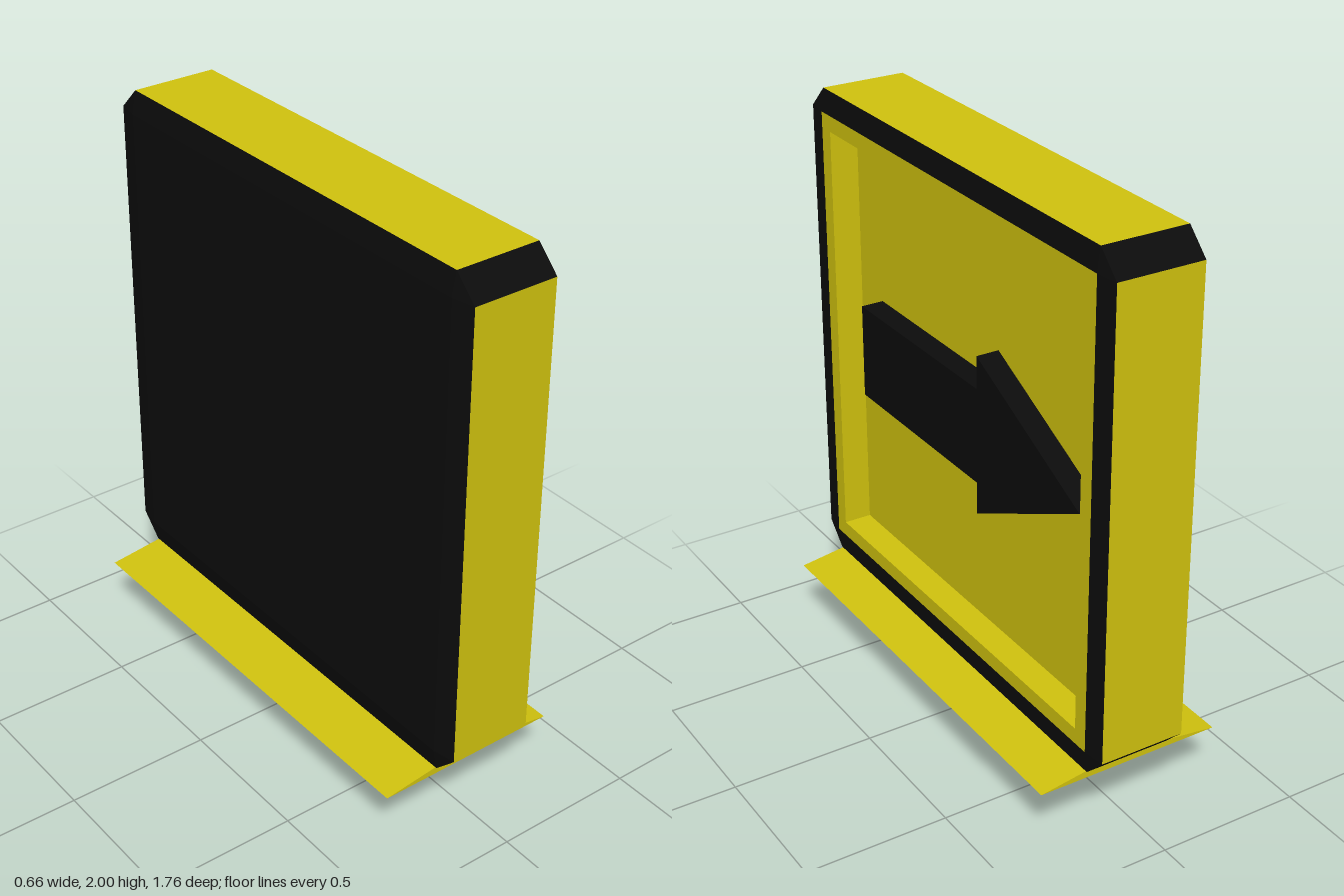
import * as THREE from 'three';

const yellow = new THREE.MeshStandardMaterial({ color: 0xd0c20e });
const black = new THREE.MeshStandardMaterial({ color: 0x0c0c0c });

// Flat-faced mesh from convex polygons, each turned away from (or towards) a centre point
function facets(name, material, polygons, centre, inward = false) {
  const c = new THREE.Vector3(...centre);
  const positions = [];
  for (const polygon of polygons) {
    const p = polygon.map((q) => new THREE.Vector3(...q));
    const normal = p[1].clone().sub(p[0]).cross(p[2].clone().sub(p[0]));
    const outward = normal.dot(p[0].clone().sub(c)) > 0;
    if (outward === inward) p.reverse();
    for (let i = 1; i < p.length - 1; i++) {
      for (const v of [p[0], p[i], p[i + 1]]) positions.push(v.x, v.y, v.z);
    }
  }
  const geometry = new THREE.BufferGeometry();
  geometry.setAttribute('position', new THREE.Float32BufferAttribute(positions, 3));
  geometry.computeVertexNormals();
  const mesh = new THREE.Mesh(geometry, material);
  mesh.name = name;
  return mesh;
}

const MID = 1.12; // height of the panel's centre
const OUT = 0.88, FACE = 0.8, RIM = 0.745; // half sizes of the panel
const X = { front: 0.175, back: -0.15, sideFront: 0.165, sideBack: -0.135, floor: 0.075 };

// Point on the panel, (u, v) turned by quarter turns around its centre
function at(x, u, v, turn) {
  for (let i = 0; i < turn; i++) [u, v] = [-v, u];
  return [x, MID + v, u];
}

function createPanel() {
  const panel = new THREE.Group();
  panel.name = 'signPanel';
  const centre = [0.01, MID, 0];
  const sides = [], bevels = [], rim = [], walls = [];
  const square = (x, h) => [0, 1, 2, 3].map((t) => at(x, h, h, t));

  for (let t = 0; t < 4; t++) {
    const p = (x, u, v) => at(x, u, v, t);
    // Edge strip and chamfered corner
    sides.push([p(X.sideFront, OUT, -FACE), p(X.sideFront, OUT, FACE),
      p(X.sideBack, OUT, FACE), p(X.sideBack, OUT, -FACE)]);
    bevels.push([p(X.sideFront, OUT, FACE), p(X.sideFront, FACE, OUT),
      p(X.sideBack, FACE, OUT), p(X.sideBack, OUT, FACE)]);
    // Shallow bevels round both large faces
    for (const [face, side] of [[X.front, X.sideFront], [X.back, X.sideBack]]) {
      bevels.push([p(face, FACE, -FACE), p(face, FACE, FACE), p(side, OUT, FACE), p(side, OUT, -FACE)]);
      bevels.push([p(face, FACE, FACE), p(side, OUT, FACE), p(side, FACE, OUT)]);
    }
    // Rim and walls of the recess
    rim.push([p(X.front, FACE, -FACE), p(X.front, FACE, FACE), p(X.front, RIM, RIM), p(X.front, RIM, -RIM)]);
    walls.push([p(X.front, RIM, -RIM), p(X.front, RIM, RIM), p(X.floor, RIM, RIM), p(X.floor, RIM, -RIM)]);
  }

  panel.add(
    facets('edgeStrips', yellow, sides, centre),
    facets('bevels', black, bevels, centre),
    facets('backFace', black, [square(X.back, FACE)], centre),
    facets('recessRim', yellow, rim, centre),
    facets('recessWalls', yellow, walls, [0.12, MID, 0], true),
    facets('recessFloor', yellow, [square(X.floor, RIM)], centre),
  );
  return panel;
}

// Raised arrow, pointing towards -z
function createArrow() {
  const shape = new THREE.Shape([
    [-0.6, 0.953], [0.14, 0.953], [0.14, 0.84], [0.715, 1.12],
    [0.14, 1.4], [0.14, 1.287], [-0.6, 1.287],
  ].map(([x, y]) => new THREE.Vector2(x, y)));
  const geometry = new THREE.ExtrudeGeometry(shape, { depth: 0.08, bevelEnabled: false });
  geometry.rotateY(Math.PI / 2).translate(X.floor, 0, 0);
  const arrow = new THREE.Mesh(geometry, black);
  arrow.name = 'arrow';
  return arrow;
}

// Tapered foot with a square socket underneath
function createBase() {
  const base = new THREE.Group();
  base.name = 'base';
  const rect = (y, x0, x1, z0, z1) => [[x0, y, z0], [x1, y, z0], [x1, y, z1], [x0, y, z1]];
  const ridge = rect(0.24, -0.135, 0.165, -0.795, 0.795);
  const brim = rect(0.215, -0.33, 0.33, -0.795, 0.795);
  const foot = rect(0, -0.14, 0.12, -0.105, 0.165);
  const socket = rect(0.12, -0.14, 0.12, -0.105, 0.165);
  const band = (a, b, i) => [a[i], a[(i + 1) % 4], b[(i + 1) % 4], b[i]];
  const centre = [0, 0.15, 0];
  const all = [0, 1, 2, 3];

  base.add(
    facets('baseTop', yellow, [ridge, ...all.map((i) => band(ridge, brim, i))], centre),
    facets('baseEnds', black, [band(brim, foot, 0), band(brim, foot, 2)], centre),
    facets('baseFlanks', yellow, [band(brim, foot, 1), band(brim, foot, 3)], centre),
    facets('socket', yellow, [socket, ...all.map((i) => band(foot, socket, i))], [0, 0.06, 0.03], true),
  );
  return base;
}

export function createModel() {
  const model = new THREE.Group();
  model.name = 'arrowSign';
  model.add(createPanel(), createArrow(), createBase());
  return model;
}
